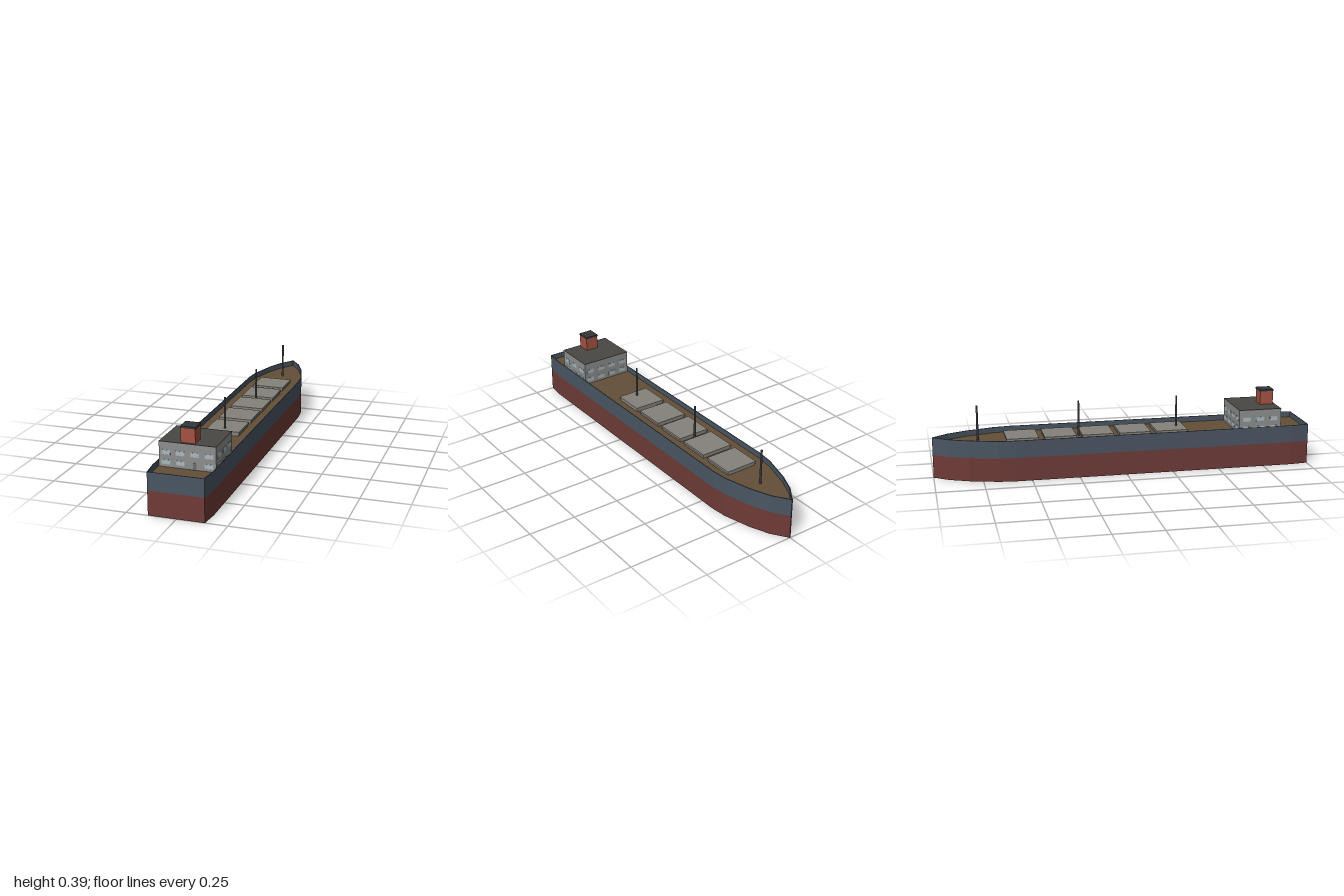
import * as THREE from 'three';

const mat = (color) => new THREE.MeshStandardMaterial({ color, flatShading: true });
const M = {
  red: mat(0x6e3b37), blue: mat(0x4a5663), deck: mat(0x644f37), wall: mat(0x8c8f8f),
  roof: mat(0x4a4744), hatch: mat(0x85827a), funnel: mat(0xa35242), dark: mat(0x33363a),
  frame: mat(0xa3a6a6), glass: mat(0xa9b8bf), mast: mat(0x5c5f61), door: mat(0x6a6e70),
};
const DECK = 0.187, WATER = 0.125, RIM = 0.217;

// Starboard half of the hull plan as [half width, z], stern to bow
const HALF = [[0.14, 1], [0.15, 0.905], [0.15, -0.58], [0.141, -0.67], [0.1, -0.82],
  [0.058, -0.92], [0.012, -0.985], [0.003, -1]];

function planPoints(inset = 0) {
  const side = HALF.map(([x, z]) => [Math.max(x - inset, 0.001), z * (1 - inset)]);
  const other = side.map(([x, z]) => [-x, z]).reverse();
  return [...side, ...other].map(([x, z]) => new THREE.Vector2(x, -z));
}

// Upright prism of a plan shape between two heights
function prism(shape, y0, y1) {
  return new THREE.ExtrudeGeometry(shape, { depth: y1 - y0, bevelEnabled: false })
    .rotateX(-Math.PI / 2).translate(0, y0, 0);
}

function add(parent, name, geometry, material) {
  const mesh = new THREE.Mesh(geometry, material);
  mesh.name = name;
  parent.add(mesh);
  return mesh;
}

// Box given by its centre in x and z and its bottom and top
function block(parent, name, material, w, d, y0, y1, x = 0, z = 0) {
  const mesh = add(parent, name, new THREE.BoxGeometry(w, y1 - y0, d), material);
  mesh.position.set(x, (y0 + y1) / 2, z);
  return mesh;
}

// One wall's windows, laid out facing +z
function windowWall(name, columns, doorColumn = -1) {
  const wall = new THREE.Group();
  wall.name = name;
  columns.forEach((x, i) => [0.212, 0.261].forEach((y, row) => {
    if (row === 0 && i === doorColumn) {
      block(wall, 'door', M.door, 0.018, 0.003, DECK, 0.222, x);
      return;
    }
    block(wall, 'windowFrame', M.frame, 0.044, 0.002, y - 0.012, y + 0.012, x);
    block(wall, 'windowPane', M.glass, 0.039, 0.003, y - 0.0095, y + 0.0095, x);
  }));
  return wall;
}

export function createModel() {
  const ship = new THREE.Group();
  ship.name = 'cargoShip';

  // Hull: red bottom, blue topsides, deck inside the bulwark
  add(ship, 'lowerHull', prism(new THREE.Shape(planPoints()), 0, WATER), M.red);
  const ring = new THREE.Shape(planPoints());
  ring.holes.push(new THREE.Path(planPoints(0.004)));
  add(ship, 'topsides', prism(ring, WATER, RIM), M.blue);
  add(ship, 'deck', prism(new THREE.Shape(planPoints(0.003)), DECK - 0.01, DECK), M.deck);

  // Cargo hatches
  for (let i = 0; i < 5; i++) {
    const z = -0.539 + i * 0.199;
    block(ship, 'hatchCoaming', M.hatch, 0.168, 0.16, DECK, 0.2, 0, z);
    block(ship, 'hatchCover', M.hatch, 0.176, 0.168, 0.198, 0.21, 0, z);
  }

  // Masts
  for (const z of [0.3, -0.232, -0.765]) {
    const h = 0.375 - DECK;
    add(ship, 'mast', new THREE.CylinderGeometry(0.005, 0.006, h, 8), M.mast)
      .position.set(0, DECK + h / 2, z);
  }

  // Deckhouse with windows on all four walls
  const house = new THREE.Group();
  house.name = 'deckhouse';
  const zc = 0.727, w = 0.284, d = 0.232;
  block(house, 'houseWalls', M.wall, w, d, DECK, 0.311, 0, zc);
  block(house, 'roof', M.roof, w, d, 0.311, 0.313, 0, zc);
  const across = [-0.107, -0.036, 0.036, 0.107], along = [-0.075, 0, 0.075];
  const walls = [['aftWindows', across, 0, 0, d / 2, 2], ['foreWindows', across, Math.PI, 0, -d / 2, -1],
    ['leftWindows', along, Math.PI / 2, w / 2, 0, -1], ['rightWindows', along, -Math.PI / 2, -w / 2, 0, -1]];
  for (const [name, columns, turn, x, z, door] of walls) {
    const wall = windowWall(name, columns, door);
    wall.rotation.y = turn;
    wall.position.set(x, 0, zc + z);
    house.add(wall);
  }
  ship.add(house);

  // Funnel
  block(ship, 'funnel', M.funnel, 0.072, 0.072, 0.312, 0.386, 0, 0.795);
  block(ship, 'funnelCap', M.dark, 0.077, 0.077, 0.385, 0.394, 0, 0.795);
  return ship;
}
